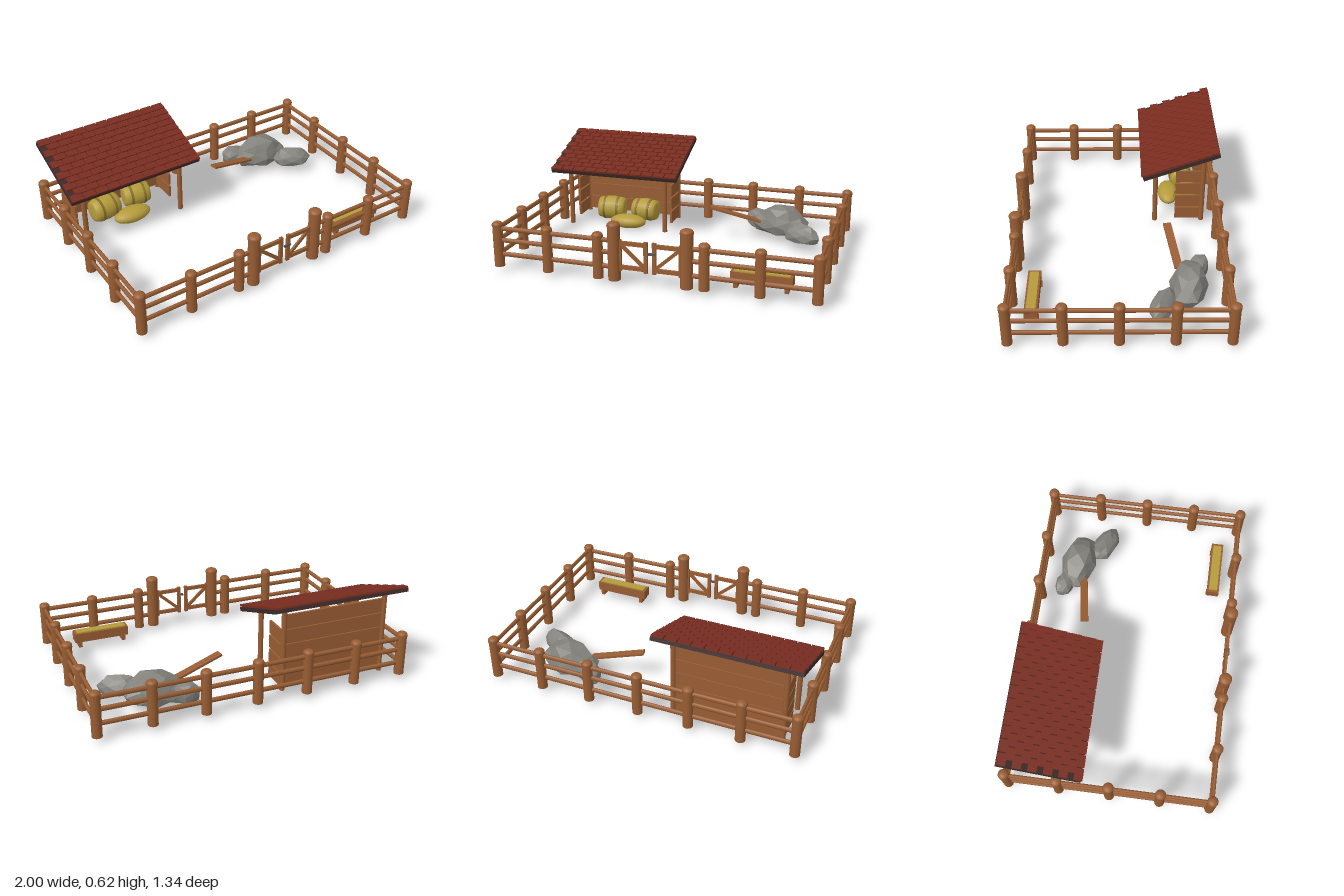
import * as THREE from 'three';

const material = (name, color) => {
  const m = new THREE.MeshStandardMaterial({ color });
  m.name = name;
  return m;
};

export function createModel() {
  const wood = material('wood', 0x985d33);
  const tileRed = material('roof tile red', 0x7a2d20);
  const darkWood = material('dark roof wood', 0x3c2a27);
  const stone = material('stone grey', 0x84827c);
  const hay = material('hay yellow', 0xb59b3b);
  const twine = material('twine brown', 0x85702a);
  const iron = material('iron grey', 0x55555a);

  const model = new THREE.Group();
  model.name = 'paddock';

  const group = (name, parent = model) => {
    const g = new THREE.Group();
    g.name = name;
    parent.add(g);
    return g;
  };
  const add = (parent, name, geometry, mat, x = 0, y = 0, z = 0) => {
    const mesh = new THREE.Mesh(geometry, mat);
    mesh.name = name;
    mesh.position.set(x, y, z);
    parent.add(mesh);
    return mesh;
  };
  const box = (parent, name, mat, w, h, d, x, y, z) =>
    add(parent, name, new THREE.BoxGeometry(w, h, d), mat, x, y, z);
  const pole = (parent, name, r, y0, y1, x, z) =>
    add(parent, name, new THREE.CylinderGeometry(r, r, y1 - y0, 16), wood, x, (y0 + y1) / 2, z);

  // Fence posts with shallow domed caps
  const fence = group('fence');
  const X = 0.967, FRONT = 0.63, BACK = -0.637;
  const post = (name, x, z, r, top) => {
    const p = group(name, fence);
    pole(p, 'postShaft', r, 0.04, top - 0.03, x, z);
    pole(p, 'postCapRim', r * 1.08, top - 0.033, top - 0.022, x, z);
    const dome = new THREE.SphereGeometry(r * 1.08, 16, 6, 0, Math.PI * 2, 0, Math.PI / 2);
    add(p, 'postCap', dome, wood, x, top - 0.022, z).scale.y = 0.022 / (r * 1.08);
  };
  for (let i = -3; i <= 3; i++) {
    const x = (i * X) / 3;
    post('backPost', x, BACK, 0.031, 0.325);
    if (i !== 0) post('frontPost', x, FRONT, 0.031, 0.325);
  }
  for (const s of [-1, 1]) {
    for (const z of [-0.318, 0, 0.316]) post('sidePost', s * X, z, 0.031, 0.325);
    post('gatePost', s * 0.22, FRONT, 0.037, 0.398);
  }

  // Rails, taller than they are deep
  const rail = (parent, name, x0, x1, y, z) => {
    const geo = new THREE.CylinderGeometry(0.015, 0.015, x1 - x0, 12);
    geo.rotateZ(Math.PI / 2).scale(1, 1, 0.72);
    return add(parent, name, geo, wood, (x0 + x1) / 2, y, z);
  };
  for (const y of [0.28, 0.206, 0.118]) {
    rail(fence, 'backRail', -X, X, y, BACK);
    rail(fence, 'frontRailRight', -X, -0.22, y, FRONT);
    rail(fence, 'frontRailLeft', 0.22, X, y, FRONT);
    for (const s of [-1, 1]) {
      const side = rail(fence, 'sideRail', BACK, FRONT, y, 0);
      side.rotation.y = Math.PI / 2;
      side.position.set(s * X, y, (FRONT + BACK) / 2);
    }
  }

  // Double gate with braces falling to the middle
  const gate = group('gate');
  for (const s of [-1, 1]) {
    const leaf = group(s < 0 ? 'gateLeafRight' : 'gateLeafLeft', gate);
    box(leaf, 'innerStile', wood, 0.022, 0.19, 0.018, s * 0.026, 0.195, FRONT);
    box(leaf, 'outerStile', wood, 0.022, 0.19, 0.018, s * 0.185, 0.195, FRONT);
    for (const y of [0.27, 0.122]) box(leaf, 'gateBar', wood, 0.18, 0.024, 0.016, s * 0.105, y, FRONT);
    const brace = box(leaf, 'gateBrace', wood, 0.2, 0.02, 0.014, s * 0.105, 0.196, FRONT);
    brace.rotation.z = s * Math.atan2(0.13, 0.145);
  }
  box(gate, 'latch', iron, 0.045, 0.014, 0.01, 0.012, 0.225, FRONT + 0.014);

  // Shed frame and plank walls
  const shed = group('shed');
  for (const x of [-0.872, -0.197]) {
    pole(shed, 'shedFrontPost', 0.016, 0.04, 0.45, x, -0.245);
    pole(shed, 'shedBackPost', 0.016, 0.04, 0.565, x, -0.555);
    for (let i = 0; i < 4; i++)
      box(shed, 'sideBoard', wood, 0.014, 0.083, 0.167, x, 0.098 + i * 0.095, -0.461);
  }
  for (let i = 0; i < 5; i++)
    box(shed, 'backBoard', wood, 0.675, 0.09, 0.014, -0.535, 0.105 + i * 0.095, -0.552);

  // Sloping roof with staggered overlapping tiles
  const roof = group('roof', shed);
  roof.position.set(-0.535, 0.514, -0.401);
  roof.rotation.x = 0.352;
  box(roof, 'roofDeck', darkWood, 0.885, 0.025, 0.511, 0, 0, 0);
  const ROWS = 11, COLS = 11, W = 0.885 / COLS, PITCH = 0.511 / ROWS;
  const fullTile = new THREE.BoxGeometry(W - 0.007, 0.011, 0.054);
  const halfTile = new THREE.BoxGeometry(W / 2 - 0.004, 0.011, 0.054);
  for (let r = 0; r < ROWS; r++) {
    const odd = r % 2;
    for (let c = 0; c < COLS; c++) {
      const half = odd && c === COLS - 1;
      const x = -0.4425 + W * (c + 0.5 + (odd ? (half ? 0.25 : 0.5) : 0));
      const tile = add(roof, 'roofTile', half ? halfTile : fullTile, tileRed,
        x, 0.0205, -0.2555 + PITCH * (r + 0.5) + 0.002);
      tile.rotation.x = -0.14;
    }
  }

  // Round hay bales tied with twine, and a loose heap in front
  const bales = group('hayBales');
  const bale = (x, y, z, length, r, yaw) => {
    const b = group('hayBale', bales);
    const h = length / 2;
    const profile = [[0, -h], [0.6, -h], [0.84, -h * 0.93], [0.95, -h * 0.6], [1, 0],
      [0.95, h * 0.6], [0.84, h * 0.93], [0.6, h], [0, h]]
      .map(([k, t]) => new THREE.Vector2(k * r, t));
    add(b, 'hayRoll', new THREE.LatheGeometry(profile, 20).rotateZ(Math.PI / 2), hay);
    for (const s of [-1, 1]) {
      const band = new THREE.CylinderGeometry(r * 0.995, r * 0.995, 0.016, 20, 1, false);
      add(b, 'twineBand', band.rotateZ(Math.PI / 2), twine, s * h * 0.48);
    }
    b.position.set(x, y, z);
    b.rotation.y = yaw;
  };
  bale(-0.65, 0.112, -0.44, 0.19, 0.082, 0.1);
  bale(-0.41, 0.112, -0.465, 0.18, 0.078, -0.12);
  add(bales, 'hayHeap', new THREE.SphereGeometry(1, 20, 12), hay, -0.5, 0.052, -0.35)
    .scale.set(0.128, 0.048, 0.07);

  // Faceted rocks, roughened by a rule based on each corner's direction
  const rocks = group('rocks');
  const rock = (name, seed, x, y, z, sx, sy, sz, yaw) => {
    const geo = new THREE.IcosahedronGeometry(1, 1);
    const p = geo.attributes.position, v = new THREE.Vector3();
    for (let i = 0; i < p.count; i++) {
      v.fromBufferAttribute(p, i);
      const n = Math.sin(v.x * 5.1 + seed) + Math.sin(v.y * 4.3 + seed * 2.1) + Math.sin(v.z * 6.2 - seed);
      v.multiplyScalar(1 + 0.07 * n);
      v.y = Math.max(v.y, -0.6);
      p.setXYZ(i, v.x * sx, v.y * sy, v.z * sz);
    }
    geo.computeVertexNormals();
    add(rocks, name, geo, stone, x, y, z).rotation.y = yaw;
  };
  rock('largeRock', 1.3, 0.565, 0.13, -0.415, 0.19, 0.115, 0.115, -0.15);
  rock('sideRock', 4.2, 0.725, 0.108, -0.26, 0.125, 0.075, 0.07, -0.45);
  rock('backRock', 2.6, 0.4, 0.108, -0.49, 0.1, 0.075, 0.06, -0.25);

  // Plank leaning on the rocks
  const plank = box(rocks, 'plank', wood, 0.35, 0.014, 0.05, 0.27, 0.182, -0.335);
  plank.rotation.set(0, 0.17, -0.25, 'YXZ');

  // Feeding trough on two feet
  const trough = group('trough');
  const TX = 0.632, TZ = 0.507;
  box(trough, 'troughFloor', wood, 0.34, 0.014, 0.07, TX, 0.08, TZ);
  for (const s of [-1, 1]) {
    box(trough, 'troughSide', wood, 0.36, 0.06, 0.01, TX, 0.104, TZ + s * 0.034);
    box(trough, 'troughEnd', wood, 0.016, 0.062, 0.07, TX + s * 0.172, 0.105, TZ);
    box(trough, 'troughFoot', wood, 0.024, 0.036, 0.086, TX + s * 0.148, 0.058, TZ);
  }
  box(trough, 'troughHay', hay, 0.328, 0.052, 0.056, TX, 0.115, TZ);

  return model;
}
